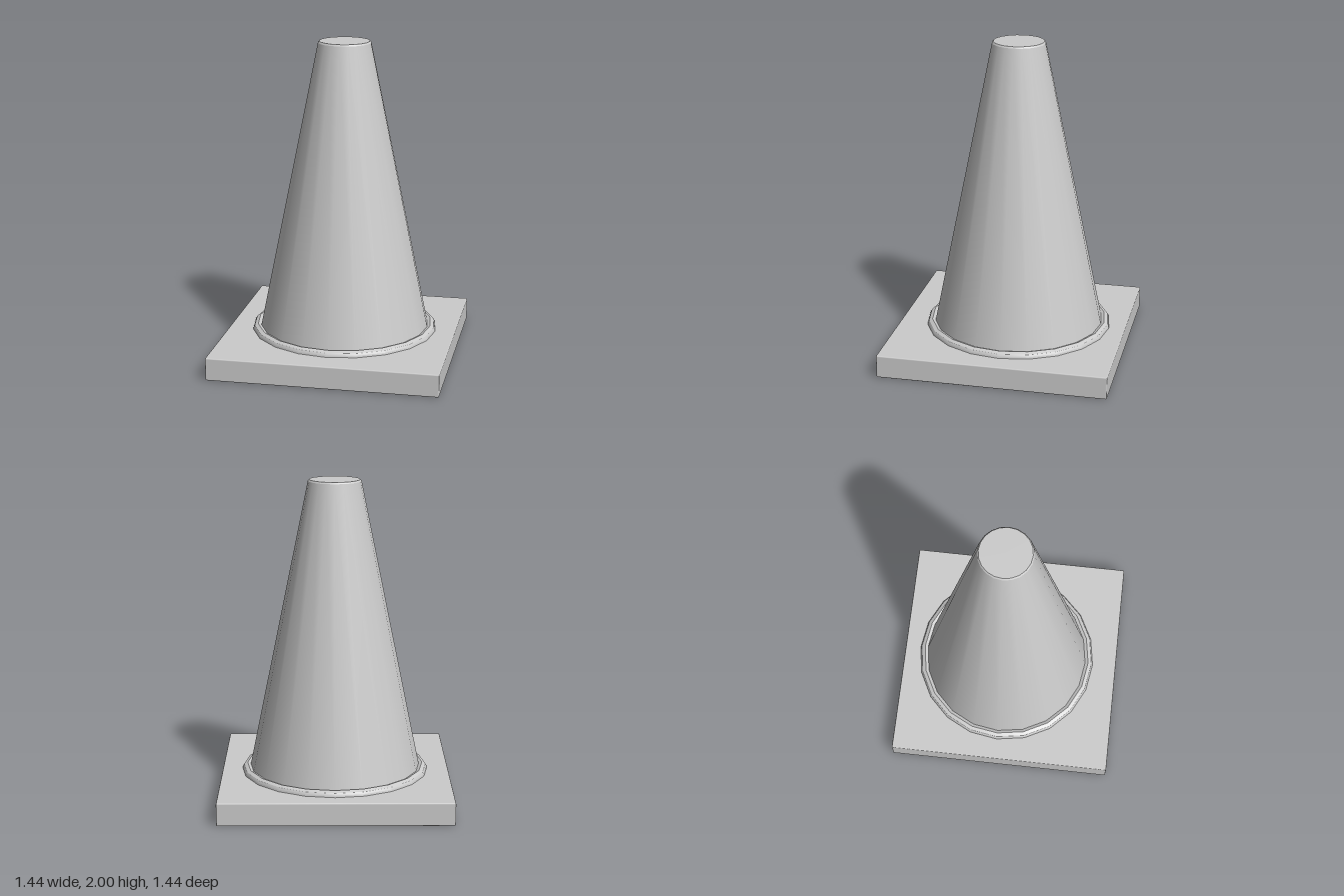
import * as THREE from 'three';
import { RoundedBoxGeometry } from 'three/addons/geometries/RoundedBoxGeometry.js';
import { toCreasedNormals } from 'three/addons/utils/BufferGeometryUtils.js';

const SIDES = 20;
const BASE_WIDTH = 1.44;
const BASE_HEIGHT = 0.145;

export function createModel() {
  const model = new THREE.Group();
  model.name = 'trafficCone';
  const material = new THREE.MeshStandardMaterial({ color: 0xcccccc });

  function addPart(name, geometry, parent = model) {
    const mesh = new THREE.Mesh(geometry, material);
    mesh.name = name;
    parent.add(mesh);
    return mesh;
  }

  // Turns a [radius, height] profile, keeping sharp edges between steep bands
  function turned(profile) {
    const points = profile.map(([r, y]) => new THREE.Vector2(r, y));
    return toCreasedNormals(new THREE.LatheGeometry(points, SIDES), 0.42);
  }

  // Square foot with slightly softened edges
  const base = addPart('base', new RoundedBoxGeometry(BASE_WIDTH, BASE_HEIGHT, BASE_WIDTH, 1, 0.008));
  base.position.y = BASE_HEIGHT / 2;

  // The turned parts sit a little off the centre of the foot
  const upper = new THREE.Group();
  upper.name = 'coneAssembly';
  upper.position.set(0.004, 0, -0.027);
  model.add(upper);

  // Raised collar, sloping back down towards the cone
  addPart('collar', turned([
    [0.591, 0.14], [0.588, 0.157], [0.58, 0.17], [0.558, 0.18], [0.538, 0.172],
  ]), upper);

  // Tapered body with a small bevel and a closed flat top
  addPart('cone', turned([
    [0.544, 0.14], [0.166, 1.99], [0.158, 2], [0, 2],
  ]), upper);

  return model;
}
